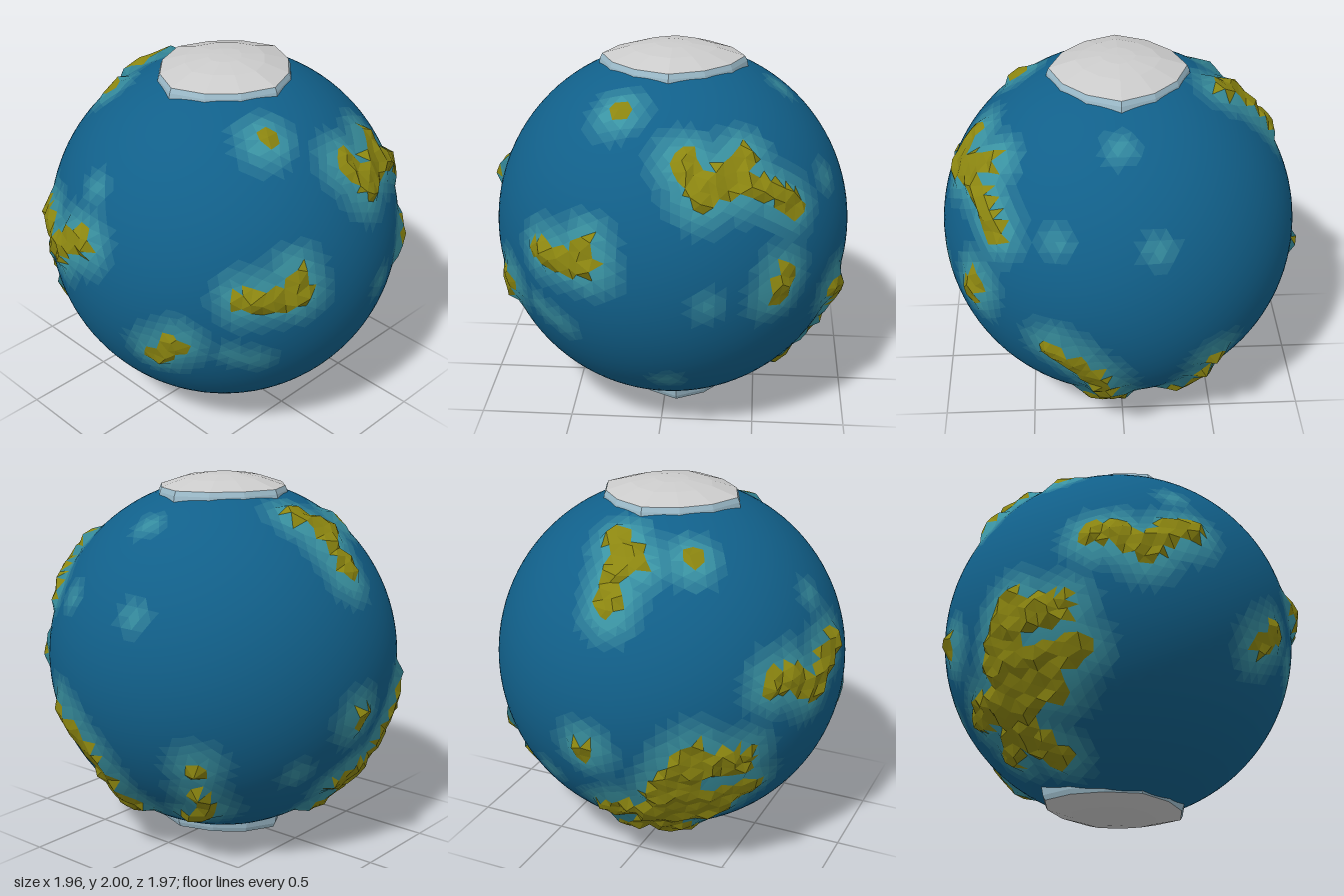
import * as THREE from 'three';

const R = 0.965;
const CENTER = new THREE.Vector3(0.028, 1, 0);
const DEEP = new THREE.Color(0x11608a);
const SHALLOW = new THREE.Color(0x3a93a2);
const BANDS = 6; // water tints from shore to deep sea
const SHELF = 0.17; // width of the shallow water

// Returns a brush that lays strokes on the globe: points are u, v on the disc facing that way
function brush(azimuth, elevation) {
  const a = THREE.MathUtils.degToRad(azimuth), e = THREE.MathUtils.degToRad(elevation);
  const right = new THREE.Vector3(Math.cos(a), 0, -Math.sin(a));
  const out = new THREE.Vector3(Math.sin(a) * Math.cos(e), Math.sin(e), Math.cos(a) * Math.cos(e));
  const up = out.clone().cross(right);
  return (width, ...points) => {
    const path = points.map(([u, v]) => new THREE.Vector3()
      .addScaledVector(right, u).addScaledVector(up, v)
      .addScaledVector(out, Math.sqrt(Math.max(0, R * R - u * u - v * v))).normalize());
    // a lone point becomes a very short dab
    if (path.length === 1) path.push(path[0].clone().addScaledVector(right, 0.01));
    return { width, lines: path.slice(1).map((p, i) => new THREE.Line3(path[i], p)) };
  };
}

const front = brush(0, 0), right = brush(90, 0), backLeft = brush(215, 24), under = brush(145, -24);

const land = [
  // northern continent and its tail
  front(0.075, [0.11, 0.61], [0.2, 0.47], [0.28, 0.52], [0.39, 0.6]),
  front(0.06, [0.3, 0.5], [0.48, 0.47], [0.64, 0.36]),
  // islands on the front
  front(0.065, [-0.6, 0.13], [-0.35, 0.11], [-0.37, 0.21]),
  front(0.065, [0.57, -0.05], [0.6, 0.04]),
  front(0.065, [-0.85, -0.27], [-0.82, -0.16]),
  front(0.05, [-0.24, 0.78]),
  // chain down the right side
  right(0.075, [-0.36, -0.2], [-0.27, -0.27], [-0.16, -0.4]),
  right(0.065, [-0.12, -0.5], [-0.09, -0.64], [-0.04, -0.71], [-0.17, -0.73]),
  right(0.05, [0.41, -0.53], [0.4, -0.66], [0.27, -0.72]),
  right(0.055, [0.46, -0.37]),
  // northern land at the back
  backLeft(0.07, [-0.34, 0.57], [-0.28, 0.43], [-0.36, 0.45], [-0.43, 0.23]),
  backLeft(0.05, [-0.02, 0.44]),
  // land on the left side
  backLeft(0.075, [0.35, -0.2], [0.43, -0.17], [0.58, -0.24], [0.65, -0.1], [0.73, -0.02]),
  // great southern continent
  backLeft(0.085, [0.19, -0.56], [-0.13, -0.56], [-0.22, -0.72], [0.23, -0.71]),
  backLeft(0.08, [-0.39, -0.78], [0.1, -0.82]),
  under(0.085, [0.87, 0.03], [0.79, -0.14], [0.59, -0.4], [0.5, -0.63]),
  under(0.065, [0.44, -0.27], [0.65, -0.3]),
  under(0.065, [0.37, -0.49], [0.6, -0.4]),
  under(0.065, [0.5, 0.17]),
];

const shoals = [
  front(0, [-0.64, -0.22], [-0.5, -0.28]),
  front(0, [0.23, -0.07]),
  front(0, [0.02, -0.6]),
  right(0, [-0.34, 0.4]),
  right(0, [0.15, 0.38]),
  right(0, [-0.02, 0.78]),
  backLeft(0, [0.62, 0.24]),
  under(0, [0.16, -0.06]),
];

const nearest = new THREE.Vector3();

// Distance to the edge of the nearest stroke, negative inside
function distanceTo(strokes, dir) {
  let best = 9;
  for (const { width, lines } of strokes) {
    for (const line of lines) {
      line.closestPointToPoint(dir, true, nearest).normalize();
      best = Math.min(best, dir.distanceTo(nearest) - width);
    }
  }
  return best;
}

// Repeatable value from 0 to 1 for a direction
function noise(p, seed) {
  const s = Math.sin(Math.round(p.x * 500) * 12.99 + Math.round(p.y * 500) * 78.23 + Math.round(p.z * 500) * 37.7 + seed) * 43758.5;
  return s - Math.floor(s);
}

// Raises the land above the water with a rough surface
function surfacePoint(dir) {
  const d = distanceTo(land, dir);
  const rise = 1 - THREE.MathUtils.smoothstep(d, -0.025, 0.045);
  const point = dir.clone();
  if (d < 0.03) {
    const shift = new THREE.Vector3(noise(dir, 1), noise(dir, 2), noise(dir, 3)).subScalar(0.5);
    point.addScaledVector(shift, 0.025).normalize();
  }
  return point.multiplyScalar(R + rise * (0.025 + 0.03 * noise(dir, 4)));
}

// Sorts the sphere's triangles into land and bands of water
function buildGlobe(group) {
  const source = new THREE.IcosahedronGeometry(1, 18).getAttribute('position');
  const bins = Array.from({ length: BANDS + 1 }, () => []);
  for (let i = 0; i < source.count; i += 3) {
    const corners = [0, 1, 2].map((k) => new THREE.Vector3().fromBufferAttribute(source, i + k).normalize());
    const mid = corners[0].clone().add(corners[1]).add(corners[2]).normalize();
    const d = distanceTo(land, mid);
    const water = Math.min(d, distanceTo(shoals, mid) + 0.03);
    const bin = d < 0 ? 0 : 1 + Math.min(BANDS - 1, Math.floor((water / SHELF) * BANDS));
    for (const c of corners) bins[bin].push(surfacePoint(c));
  }
  bins.forEach((points, i) => {
    const isLand = i === 0;
    const geometry = new THREE.BufferGeometry().setFromPoints(points);
    const normals = points.flatMap((p) => p.clone().normalize().toArray());
    geometry.setAttribute('normal', new THREE.Float32BufferAttribute(normals, 3));
    const color = isLand ? new THREE.Color(0x8c8610) : SHALLOW.clone().lerp(DEEP, (i - 1) / (BANDS - 1));
    const mesh = new THREE.Mesh(geometry, new THREE.MeshStandardMaterial({ color, flatShading: isLand }));
    mesh.name = isLand ? 'land' : i === BANDS ? 'ocean' : 'shallows' + i;
    mesh.position.copy(CENTER);
    group.add(mesh);
  });
}

// Ice layer: a twelve-sided, slightly pinched oval repeated at each [scale, height] towards the pole
function iceLayer(name, side, cx, rx, rz, rings, color) {
  const n = 12, positions = [], index = [];
  for (const [scale, height] of rings) {
    for (let i = 0; i < n; i++) {
      const t = (i / n) * Math.PI * 2;
      const s = scale * (1 - 0.08 * Math.abs(Math.sin(2 * t)));
      positions.push(cx + rx * s * Math.cos(t), 1 + side * height, -side * rz * s * Math.sin(t));
    }
  }
  for (let r = 0; r < rings.length - 1; r++) {
    for (let i = 0; i < n; i++) {
      const a = r * n + i, b = r * n + ((i + 1) % n);
      index.push(a, b, a + n, b, b + n, a + n);
    }
  }
  const geometry = new THREE.BufferGeometry();
  geometry.setAttribute('position', new THREE.Float32BufferAttribute(positions, 3));
  geometry.setIndex(index);
  geometry.computeVertexNormals();
  const mesh = new THREE.Mesh(geometry, new THREE.MeshStandardMaterial({ color, flatShading: true }));
  mesh.name = name;
  return mesh;
}

function iceCap(name, side, cx, rx, rz) {
  const cap = new THREE.Group();
  cap.name = name;
  const rim = [[1.03, 0.85], [1, 0.91], [0.97, 0.935]];
  const sheet = [[0.97, 0.935], [0.6, 0.978], [0.25, 0.997], [0, 1]];
  cap.add(iceLayer(name + 'Rim', side, cx, rx, rz, rim, 0x9dbccb));
  cap.add(iceLayer(name + 'Sheet', side, cx, rx, rz, sheet, 0xcccccc));
  return cap;
}

export function createModel() {
  const group = new THREE.Group();
  group.name = 'planet';
  buildGlobe(group);
  group.add(iceCap('northIce', 1, 0.03, 0.39, 0.37));
  group.add(iceCap('southIce', -1, 0.075, 0.335, 0.415));
  return group;
}
